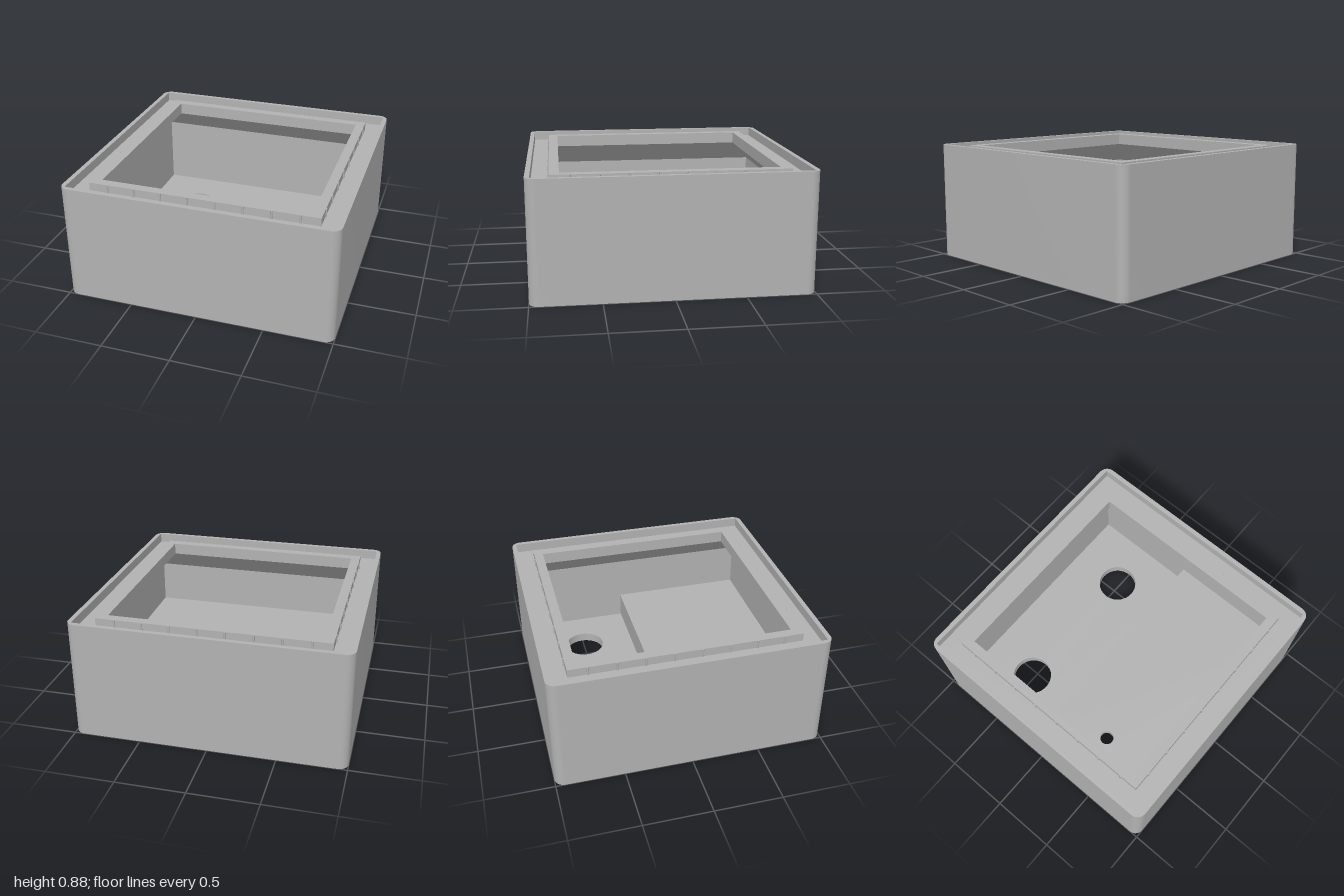
import * as THREE from 'three';
import { toCreasedNormals } from 'three/addons/utils/BufferGeometryUtils.js';

export function createModel() {
  const model = new THREE.Group();
  const grey = new THREE.MeshStandardMaterial({ color: 0xb2b2b2, side: THREE.DoubleSide });
  grey.name = 'light grey';

  // Outlines are drawn in plan: x to the side, y of the shape is z of the model
  const rect = (x0, z0, x1, z1, Type = THREE.Path) => {
    const p = new Type();
    p.moveTo(x0, z0).lineTo(x1, z0).lineTo(x1, z1).lineTo(x0, z1).closePath();
    return p;
  };
  const square = (h, Type) => rect(-h, -h, h, h, Type);
  const circle = (x, z, r) => new THREE.Path().absarc(x, z, r, 0, Math.PI * 2);
  const rounded = (h, r) => {
    const s = new THREE.Shape();
    s.absarc(h - r, h - r, r, 0, Math.PI / 2);
    s.absarc(r - h, h - r, r, Math.PI / 2, Math.PI);
    s.absarc(r - h, r - h, r, Math.PI, Math.PI * 1.5);
    s.absarc(h - r, r - h, r, Math.PI * 1.5, Math.PI * 2);
    s.closePath();
    return s;
  };
  const add = (name, geometry) => {
    const mesh = new THREE.Mesh(geometry, grey);
    mesh.name = name;
    model.add(mesh);
    return mesh;
  };
  const slab = (name, shape, holes, y0, y1) => {
    shape.holes.push(...holes);
    const g = new THREE.ExtrudeGeometry(shape, { depth: y1 - y0, bevelEnabled: false, curveSegments: 20 });
    g.rotateX(Math.PI / 2).translate(0, y1, 0);
    return add(name, toCreasedNormals(g, 0.5));
  };

  // Battery bay outline with a round finger notch at each end
  const bay = () => {
    const p = new THREE.Path();
    const x = 0.76, z = 0.34, r = 0.16;
    p.moveTo(-x, -0.06).lineTo(x, -0.06).lineTo(x, z - r);
    p.absarc(x, z, r, -Math.PI / 2, Math.PI / 2);
    p.lineTo(x, 0.76).lineTo(-x, 0.76).lineTo(-x, z + r);
    p.absarc(-x, z, r, Math.PI / 2, Math.PI * 1.5);
    p.closePath();
    return p;
  };
  const sockets = () => [-0.55, 0.55].map(x => circle(x, -0.505, 0.155));

  // Engraved battery symbol: two leads, four plates and a plus sign
  const grooves = [rect(0.11, -0.51, 0.37, -0.495), rect(-0.37, -0.51, -0.11, -0.495)];
  [0.105, 0.035, -0.035, -0.105].forEach((x, i) => {
    const h = i % 2 ? 0.09 : 0.05;
    grooves.push(rect(x - 0.009, -0.5025 - h, x + 0.009, -0.5025 + h));
  });
  const plus = new THREE.Path();
  const a = 0.05, b = 0.009;
  [[-b, -a], [b, -a], [b, -b], [a, -b], [a, b], [b, b], [b, a], [-b, a], [-b, b], [-a, b], [-a, -b], [-b, -b]]
    .forEach(([x, z], i) => plus[i ? 'lineTo' : 'moveTo'](x - 0.25, z - 0.41));
  plus.closePath();
  grooves.push(plus);

  // Base and walls
  slab('basePlate', rounded(1, 0.07), [...sockets(), bay(), ...grooves], 0, 0.03);
  slab('floor', square(0.965, THREE.Shape), [...sockets(), bay()], 0.03, 0.07);
  slab('outerWall', rounded(1, 0.07), [square(0.965)], 0.03, 0.88);
  slab('wallLining', square(0.965, THREE.Shape), [square(0.94)], 0.07, 0.78);

  // Raised battery housing inside the box
  slab('batteryHousing', rect(-0.94, -0.1, 0.94, 0.94, THREE.Shape), [bay()], 0.07, 0.22);
  slab('batteryHousingTop', rect(-0.94, -0.1, 0.94, 0.94, THREE.Shape), [circle(-0.59, 0.35, 0.052)], 0.22, 0.27);

  // Sloped underside that carries the ledge
  const slope = new THREE.CylinderGeometry(0.77 * Math.SQRT2, 0.94 * Math.SQRT2, 0.17, 4, 1, true)
    .rotateY(Math.PI / 4).translate(0, 0.695, 0).toNonIndexed();
  slope.computeVertexNormals();
  add('ledgeSlope', slope);

  // Ledge and upright seating ring
  slab('ledge', square(0.965, THREE.Shape), [square(0.77)], 0.78, 0.81);
  slab('seatingRing', square(0.84, THREE.Shape), [square(0.77)], 0.81, 0.87);

  // Small grip ribs along the outside of the ring
  const rib = new THREE.CylinderGeometry(0.008, 0.008, 0.06, 8);
  for (let side = 0; side < 4; side++) {
    for (let i = 0; i < 8; i++) {
      const angle = side * Math.PI / 2, t = -0.7 + i * 0.2;
      const mesh = add('gripRib', rib);
      mesh.position.set(t * Math.cos(angle) + 0.84 * Math.sin(angle), 0.84,
        -t * Math.sin(angle) + 0.84 * Math.cos(angle));
    }
  }
  return model;
}
